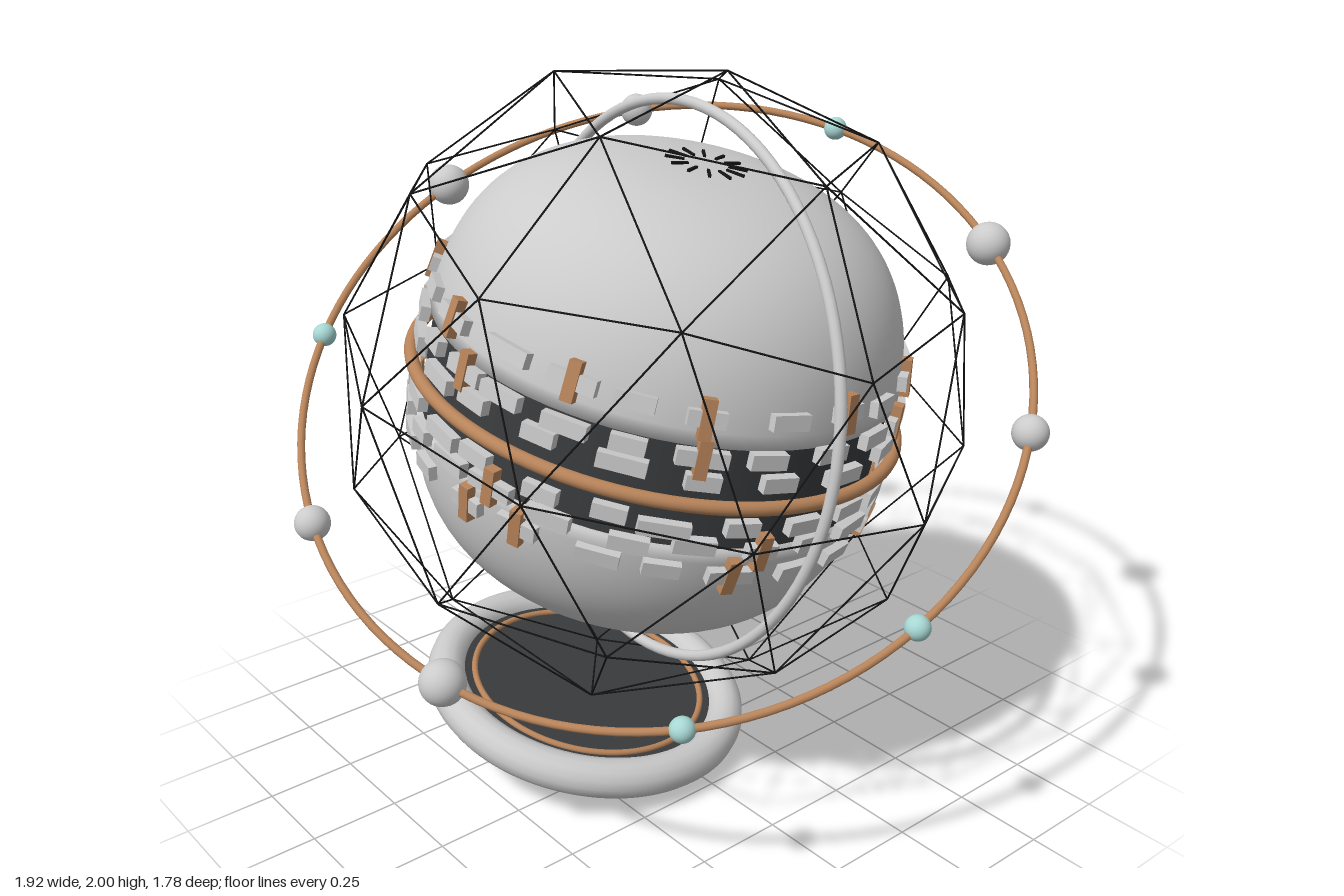
import * as THREE from 'three';
import { mergeGeometries } from 'three/addons/utils/BufferGeometryUtils.js';

const mat = (color) => new THREE.MeshStandardMaterial({ color });
const grey = mat(0xcccccc);
const dark = mat(0x3a3c3e);
const black = mat(0x141414);
const bronze = mat(0xb8845a);
const aqua = mat(0xa8d8d4);

const CENTER_Y = 1.165;
const BODY_R = 0.635, BODY_H = 0.615, BODY_N = 2.7;

function add(parent, name, geometry, material) {
  const mesh = new THREE.Mesh(geometry, material);
  mesh.name = name;
  parent.add(mesh);
  return mesh;
}

// Radius of the rounded body at height y
const bodyRadius = (y) =>
  BODY_R * Math.pow(Math.max(0, 1 - Math.pow(Math.abs(y) / BODY_H, BODY_N)), 1 / BODY_N);

function seeded(seed) {
  return () => {
    seed = (seed * 16807) % 2147483647;
    return seed / 2147483647;
  };
}

// Domed half of the body, from its cut edge near the equator to the pole
function shellGeometry(sign) {
  const cut = 0.14;
  const pts = [new THREE.Vector2(0.6, cut)];
  const start = Math.asin(Math.pow(cut / BODY_H, BODY_N / 2));
  for (let i = 0; i <= 28; i++) {
    const a = start + (Math.PI / 2 - start) * (i / 28);
    pts.push(new THREE.Vector2(
      BODY_R * Math.pow(Math.max(0, Math.cos(a)), 2 / BODY_N),
      BODY_H * Math.pow(Math.sin(a), 2 / BODY_N)));
  }
  pts[pts.length - 1].x = 0;
  if (sign < 0) {
    pts.forEach((p) => { p.y *= -1; });
    pts.reverse();
  }
  return new THREE.LatheGeometry(pts, 72);
}

// Box laid on the body surface at an azimuth and height
function surfaceBox(w, h, d, azimuth, y, lift) {
  const slope = Math.atan2(bodyRadius(y - 0.01) - bodyRadius(y + 0.01), 0.02);
  return new THREE.BoxGeometry(w, h, d)
    .rotateX(-slope)
    .translate(0, y, bodyRadius(y) + lift)
    .rotateY(azimuth);
}

// Geodesic cage of thin rods with a vertex at each pole
function cageGeometry(radius) {
  const ico = new THREE.IcosahedronGeometry(radius, 1)
    .rotateX(-Math.atan((1 + Math.sqrt(5)) / 2))
    .rotateY(Math.PI / 10);
  const pos = new THREE.EdgesGeometry(ico, 1).attributes.position;
  const rods = [];
  const up = new THREE.Vector3(0, 1, 0);
  for (let i = 0; i < pos.count; i += 2) {
    const a = new THREE.Vector3().fromBufferAttribute(pos, i);
    const b = new THREE.Vector3().fromBufferAttribute(pos, i + 1);
    const dir = b.clone().sub(a);
    const rod = new THREE.CylinderGeometry(0.0025, 0.0025, dir.length(), 5);
    rod.applyQuaternion(new THREE.Quaternion().setFromUnitVectors(up, dir.normalize()));
    const mid = a.add(b).multiplyScalar(0.5);
    rods.push(rod.translate(mid.x, mid.y, mid.z));
  }
  return mergeGeometries(rods);
}

// Rows of small plates, some crossed by a bronze upright
function addPlates(parent) {
  const rand = seeded(41);
  const plates = [], uprights = [];
  const rows = [
    { y: 0.215, count: 22, cross: 2 },
    { y: 0.115, count: 24, cross: 4 },
    { y: 0.06, count: 20, cross: 0 },
    { y: -0.075, count: 24, cross: 0 },
    { y: -0.13, count: 24, cross: 4 },
    { y: -0.205, count: 22, cross: 3 },
  ];
  rows.forEach(({ y, count, cross }, r) => {
    for (let i = 0; i < count; i++) {
      const azimuth = ((i + r * 0.37 + (rand() - 0.5) * 0.25) / count) * Math.PI * 2;
      const py = y + (rand() - 0.5) * 0.025;
      plates.push(surfaceBox(0.085 + rand() * 0.045, 0.04, 0.026, azimuth, py, 0.008));
      if (cross && i % cross === 0) {
        uprights.push(surfaceBox(0.032, 0.1, 0.03, azimuth, py, 0.01));
      }
    }
  });
  add(parent, 'surfacePlates', mergeGeometries(plates), grey);
  add(parent, 'bronzeUprights', mergeGeometries(uprights), bronze);
}

// Radial slits around a pole
function addPoleSlits(parent, sign) {
  const slits = [];
  for (let i = 0; i < 12; i++) {
    slits.push(new THREE.BoxGeometry(0.05, 0.012, 0.007)
      .translate(0.082, sign * (BODY_H - 0.001), 0)
      .rotateY((i / 12) * Math.PI * 2));
  }
  add(parent, sign > 0 ? 'topSlits' : 'bottomSlits', mergeGeometries(slits), black);
}

// Large tilted ring carrying ten beads
function addOrbit(parent) {
  const radius = 0.99;
  const u = new THREE.Vector3(0.655, -0.583, 0.465).normalize();
  const v = new THREE.Vector3(-0.645, -0.152, 0.727);
  v.addScaledVector(u, -v.dot(u)).normalize();
  const orbit = new THREE.Group();
  orbit.name = 'orbit';
  orbit.position.y = CENTER_Y;
  orbit.setRotationFromMatrix(
    new THREE.Matrix4().makeBasis(u, v, u.clone().cross(v)));
  parent.add(orbit);
  add(orbit, 'orbitRing', new THREE.TorusGeometry(radius, 0.011, 10, 120), bronze);
  const sizes = [0.033, 0.06, 0.048];
  for (let i = 0; i < 10; i++) {
    const a = (i / 10) * Math.PI * 2;
    const bead = add(orbit, 'orbitBead', new THREE.SphereGeometry(sizes[i % 3], 24, 16),
      i % 3 === 0 ? aqua : grey);
    bead.position.set(radius * Math.cos(a), radius * Math.sin(a), 0);
  }
}

const flatRing = (r, tube) =>
  new THREE.TorusGeometry(r, tube, 14, 96).rotateX(Math.PI / 2);

export function createModel() {
  const model = new THREE.Group();
  model.name = 'cagedOrb';

  // Everything but the orbit leans together
  const tilted = new THREE.Group();
  tilted.name = 'tiltedCore';
  tilted.position.y = CENTER_Y;
  tilted.rotation.set(-0.11, -0.1, -0.19, 'XZY');
  model.add(tilted);

  // Body
  add(tilted, 'upperShell', shellGeometry(1), grey);
  add(tilted, 'lowerShell', shellGeometry(-1), grey);
  add(tilted, 'darkBand', new THREE.CylinderGeometry(0.615, 0.615, 0.29, 72, 1, true), dark);
  addPlates(tilted);
  addPoleSlits(tilted, 1);
  addPoleSlits(tilted, -1);

  // Rings and cage
  add(tilted, 'equatorRing', flatRing(0.66, 0.018), bronze);
  add(tilted, 'meridianRing', new THREE.TorusGeometry(0.745, 0.015, 12, 96), grey);
  add(tilted, 'cage', cageGeometry(0.855), black);
  addOrbit(model);

  // Base dish
  const base = new THREE.Group();
  base.name = 'base';
  base.position.y = -1.02;
  tilted.add(base);
  add(base, 'baseRim', flatRing(0.42, 0.055), grey);
  add(base, 'baseDisc', new THREE.CylinderGeometry(0.42, 0.42, 0.08, 64), dark)
    .position.y = -0.02;
  add(base, 'baseFoot', new THREE.CylinderGeometry(0.4, 0.39, 0.03, 64), dark)
    .position.y = -0.067;
  add(base, 'baseInlay', flatRing(0.34, 0.009), bronze).position.y = 0.022;

  return model;
}
